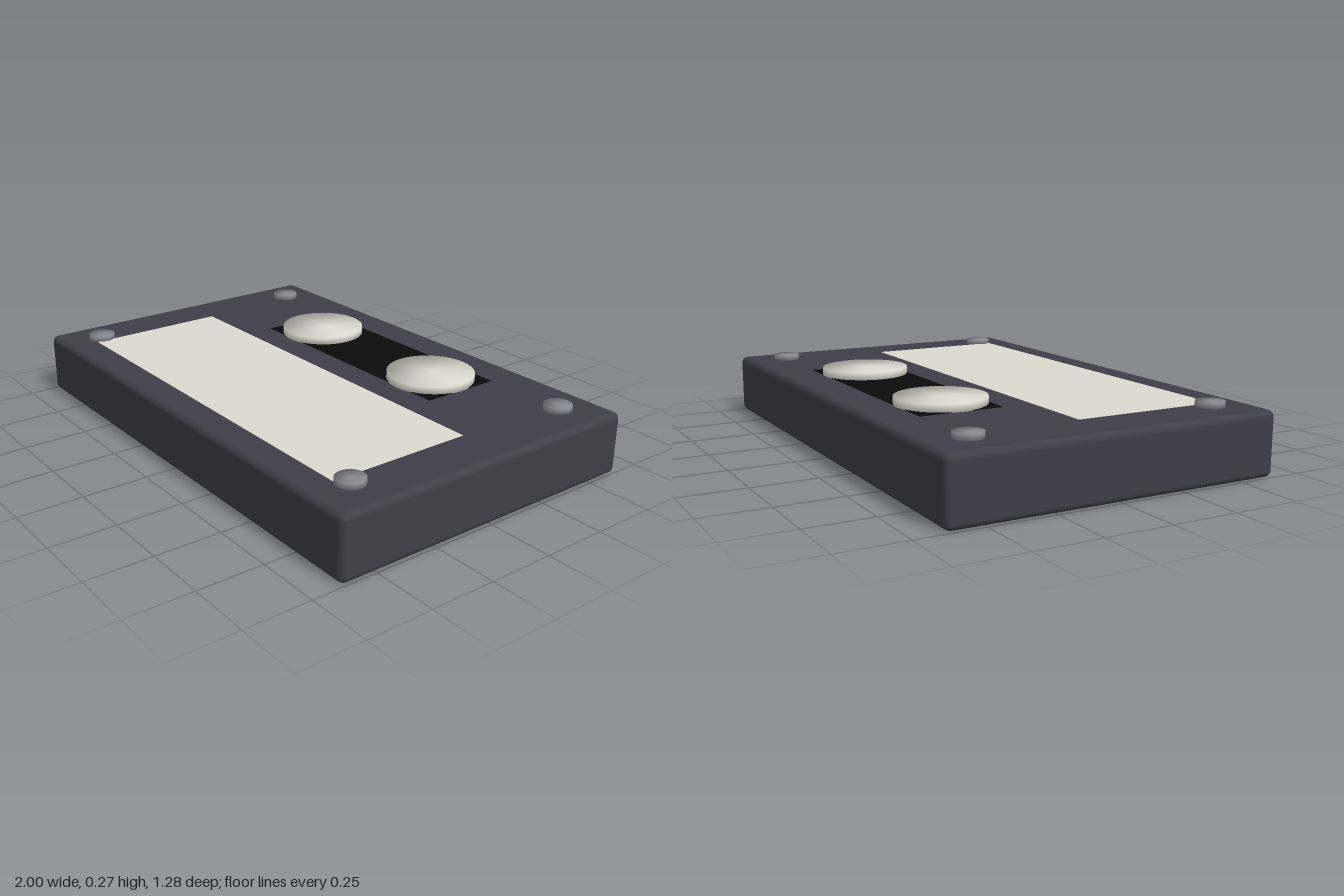
import * as THREE from 'three';
import { RoundedBoxGeometry } from 'three/addons/geometries/RoundedBoxGeometry.js';
import { mergeVertices } from 'three/addons/utils/BufferGeometryUtils.js';

const material = (name, color) => {
  const m = new THREE.MeshStandardMaterial({ color });
  m.name = name;
  return m;
};

// Low disc whose shading rolls smoothly from the top centre over the rim
function softDisc(radius, height, segments) {
  let g = new THREE.CylinderGeometry(radius, radius, height, segments);
  g.deleteAttribute('uv');
  g.deleteAttribute('normal');
  g = mergeVertices(g, 1e-5);
  const p = g.attributes.position;
  const normals = [];
  const n = new THREE.Vector3();
  for (let i = 0; i < p.count; i++) {
    const up = Math.sign(p.getY(i));
    const rim = Math.hypot(p.getX(i), p.getZ(i)) > radius / 2;
    n.set(p.getX(i) / radius, rim ? up * 0.6 : up, p.getZ(i) / radius).normalize();
    normals.push(n.x, n.y, n.z);
  }
  g.setAttribute('normal', new THREE.Float32BufferAttribute(normals, 3));
  return g;
}

export function createModel() {
  const model = new THREE.Group();
  model.name = 'cassette';
  const shell = material('charcoal shell', 0x3f3e49);
  const black = material('black window', 0x0a0a0a);
  const cream = material('cream', 0xdcdad0);
  const grey = material('grey metal', 0x888890);
  const top = 0.24;

  const add = (name, geometry, mat, x, y, z) => {
    const mesh = new THREE.Mesh(geometry, mat);
    mesh.name = name;
    mesh.position.set(x, y, z);
    model.add(mesh);
  };

  // Shell with softened edges
  add('shell', new RoundedBoxGeometry(2, top, 1.28, 3, 0.025), shell, 0, top / 2, 0);

  // Thin inlays on the upper face
  add('window', new THREE.BoxGeometry(1.01, 0.004, 0.32), black, 0, top, -0.323);
  add('label', new THREE.BoxGeometry(1.6, 0.004, 0.565), cream, 0, top, 0.2375);

  // Reels and corner screws
  const reel = softDisc(0.17, 0.03, 48);
  const screw = softDisc(0.053, 0.022, 24);
  for (const side of [-1, 1]) {
    add(side > 0 ? 'leftReel' : 'rightReel', reel, cream, side * 0.34, top + 0.014, -0.32);
    for (const end of [-1, 1]) {
      add('screw', screw, grey, side * 0.84, top + 0.01, end * 0.48);
    }
  }
  return model;
}
